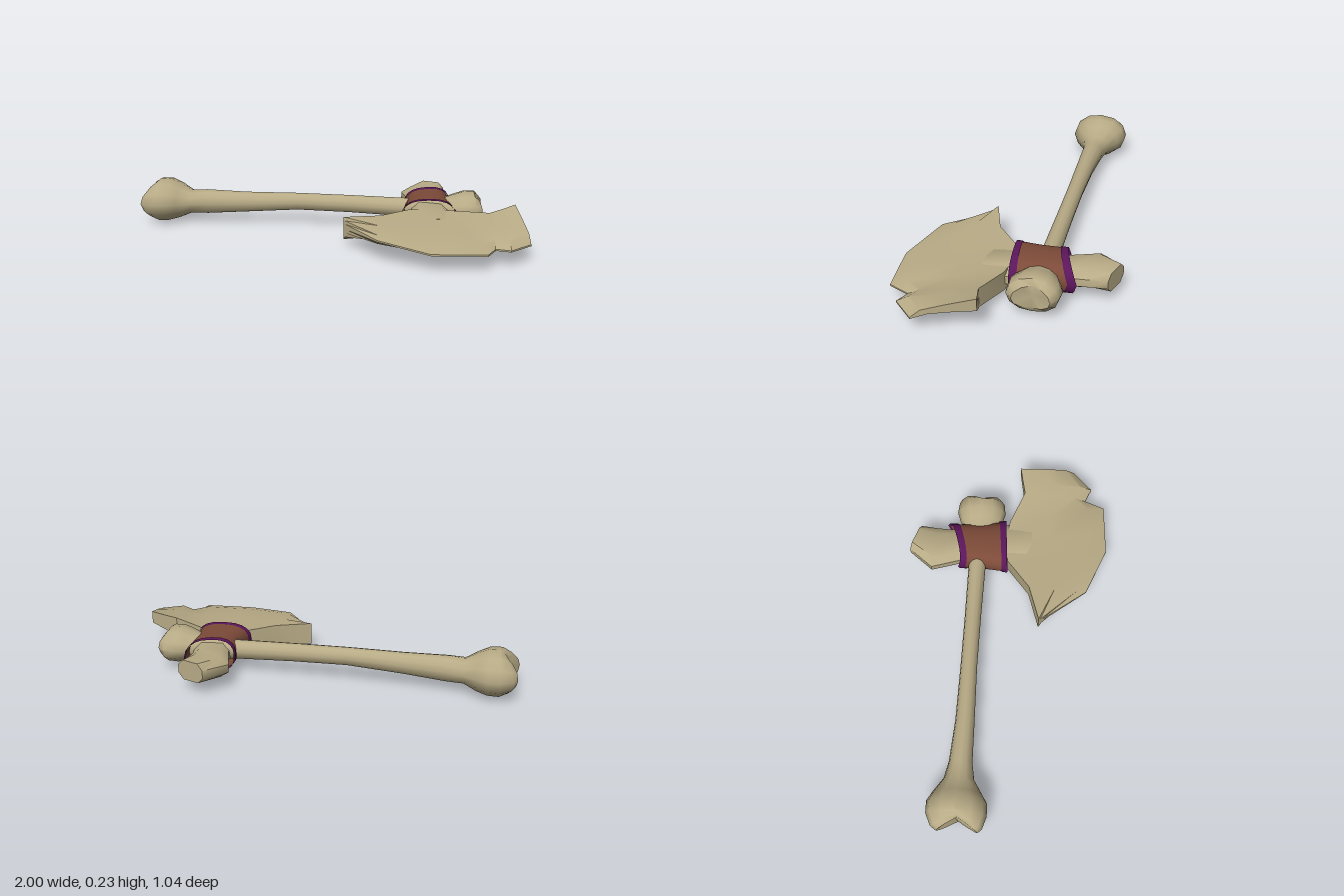
import * as THREE from 'three';
import { toCreasedNormals } from 'three/addons/utils/BufferGeometryUtils.js';

const bone = new THREE.MeshStandardMaterial({ color: 0xb8ab86 });
const hide = new THREE.MeshStandardMaterial({ color: 0x7c4a38, side: THREE.DoubleSide });
const trim = new THREE.MeshStandardMaterial({ color: 0x5c165c, side: THREE.DoubleSide });

// Skin a list of rings (arrays of [x, y, z]); caps may be given as centre points.
function loft(name, rings, material, startCap, endCap, crease = 0.75) {
  const n = rings[0].length;
  const pos = rings.flat(2);
  let tris = [];
  for (let r = 0; r < rings.length - 1; r++) {
    for (let i = 0; i < n; i++) {
      const j = (i + 1) % n, a = r * n, b = a + n;
      tris.push([a + i, a + j, b + j], [a + i, b + j, b + i]);
    }
  }
  const cap = (centre, base, flip) => {
    const c = pos.length / 3;
    pos.push(...centre);
    for (let i = 0; i < n; i++) {
      const p = base + i, q = base + (i + 1) % n;
      tris.push(flip ? [c, q, p] : [c, p, q]);
    }
  };
  if (startCap) cap(startCap, 0, true);
  if (endCap) cap(endCap, (rings.length - 1) * n, false);
  // Turn the faces outwards
  const v = (i) => new THREE.Vector3().fromArray(pos, i * 3);
  const volume = tris.reduce((s, [a, b, c]) => s + v(a).dot(v(b).cross(v(c))), 0);
  if (volume < 0) tris = tris.map(([a, b, c]) => [a, c, b]);
  const g = new THREE.BufferGeometry();
  g.setAttribute('position', new THREE.Float32BufferAttribute(pos, 3));
  g.setIndex(tris.flat());
  const mesh = new THREE.Mesh(toCreasedNormals(g, crease), material);
  mesh.name = name;
  return mesh;
}

const middle = (ring) => [0, 1, 2].map((k) => ring.reduce((s, p) => s + p[k], 0) / ring.length);

// Long bone: [x, centre y, centre z, half height, half depth, pull of the cleft along x]
function buildHandle() {
  const stations = [
    [-1.0, 0.12, -0.155, 0.07, 0.10, 0.06],
    [-0.98, 0.12, -0.16, 0.095, 0.125, 0.05],
    [-0.92, 0.122, -0.165, 0.114, 0.148, 0.01],
    [-0.86, 0.122, -0.166, 0.112, 0.148, 0],
    [-0.81, 0.118, -0.167, 0.095, 0.118, 0],
    [-0.745, 0.113, -0.165, 0.062, 0.075, 0],
    [-0.66, 0.115, -0.163, 0.066, 0.058, 0],
    [-0.45, 0.12, -0.158, 0.055, 0.048, 0],
    [-0.17, 0.13, -0.16, 0.046, 0.042, 0],
    [0.1, 0.125, -0.16, 0.047, 0.042, 0],
    [0.4, 0.115, -0.16, 0.05, 0.045, 0],
    [0.6, 0.115, -0.155, 0.06, 0.085, 0],
    [0.65, 0.118, -0.155, 0.075, 0.112, 0],
    [0.7, 0.12, -0.157, 0.09, 0.128, 0],
    [0.76, 0.12, -0.157, 0.09, 0.122, -0.01],
    [0.795, 0.12, -0.157, 0.06, 0.09, -0.03],
  ];
  const sides = 12;
  const rings = stations.map(([x, y, z, ry, rz, pull]) =>
    Array.from({ length: sides }, (_, i) => {
      const a = (i / sides) * Math.PI * 2;
      return [x + pull * (1 - Math.abs(Math.cos(a))), y + ry * Math.sin(a), z + rz * Math.cos(a)];
    }));
  return loft('boneHandle', rings, bone, [-0.93, 0.12, -0.17], [0.755, 0.12, -0.157], 0.9);
}

// Shoulder blade: each column runs from back edge to cutting edge
// [back x, back z, back top y, back bottom y, front x, front z, front y]
function buildBlade() {
  const columns = [
    [0.1, 0.18, 0.155, 0.04, 0.115, 0.2, 0.1],
    [0.28, 0.12, 0.15, 0.043, 0.28, 0.42, 0.115],
    [0.42, 0.0, 0.15, 0.045, 0.53, 0.52, 0.09],
    [0.53, -0.02, 0.15, 0.045, 0.65, 0.512, 0.09],
    [0.65, 0.0, 0.15, 0.05, 0.79, 0.5, 0.09],
    [0.82, 0.07, 0.165, 0.065, 0.83, 0.4, 0.085],
    [0.88, 0.055, 0.182, 0.1, 0.9, 0.43, 0.09],
    [0.945, 0.04, 0.203, 0.14, 1.0, 0.33, 0.09],
  ];
  const rings = columns.map(([bx, bz, top, bottom, fx, fz, fy]) => {
    const at = (t, y) => [bx + (fx - bx) * t, y, bz + (fz - bz) * t];
    const mix = THREE.MathUtils.lerp;
    return [
      at(0, top), at(0.45, mix(top, fy, 0.3)), at(0.84, mix(top, fy, 0.6)), at(1, fy + 0.004),
      at(1, fy - 0.004), at(0.84, mix(bottom, fy, 0.6)), at(0.45, mix(bottom, fy, 0.25)), at(0, bottom),
    ];
  });
  return loft('blade', rings, bone, middle(rings[0]), middle(rings.at(-1)), 0.6);
}

// Neck of the blade: [left x, left z, right x, right z, bottom y, top y]
function buildNeck() {
  const rows = [
    [0.43, 0.12, 0.64, 0.12, 0.055, 0.14],
    [0.425, 0.0, 0.645, 0.0, 0.047, 0.152],
    [0.43, -0.1, 0.62, -0.1, 0.047, 0.155],
    [0.43, -0.22, 0.61, -0.22, 0.05, 0.155],
    [0.41, -0.28, 0.595, -0.28, 0.053, 0.155],
    [0.37, -0.4, 0.595, -0.38, 0.06, 0.16],
    [0.46, -0.52, 0.6, -0.47, 0.068, 0.168],
  ];
  const section = [[0, 0.3], [0.2, 0], [0.8, 0], [1, 0.3], [1, 0.7], [0.8, 1], [0.2, 1], [0, 0.7]];
  const rings = rows.map(([lx, lz, rx, rz, y0, y1]) => section.map(([u, w]) =>
    [lx + (rx - lx) * u, y0 + (y1 - y0) * w, lz + (rz - lz) * u]));
  return loft('bladeNeck', rings, bone, middle(rings[0]), middle(rings.at(-1)), 0.8);
}

// Point of the wrapping at angle a; t runs from the slanted rear rim to the front rim
function wrapRing(t, swell) {
  return Array.from({ length: 20 }, (_, i) => {
    const a = (i / 20) * Math.PI * 2;
    const c = Math.sign(Math.cos(a)) * Math.abs(Math.cos(a)) ** 0.8;
    const s = Math.sign(Math.sin(a)) * Math.abs(Math.sin(a)) ** 0.8;
    const rear = -0.288 - 0.035 * c + 0.025 * Math.abs(s);
    const front = -0.018 - 0.012 * c;
    const rx = 0.114 + 0.022 * t * t + swell;
    return [0.508 + 0.012 * t + rx * c, 0.11 + (0.083 + swell) * s, rear + (front - rear) * t];
  });
}

export function createModel() {
  const model = new THREE.Group();
  model.name = 'boneAxe';
  model.add(buildHandle(), buildBlade(), buildNeck());

  // Hide wrapping with a coloured band at each rim
  const wrap = new THREE.Group();
  wrap.name = 'wrapping';
  const span = (name, from, to, swell, mat) => wrap.add(
    loft(name, [0, 0.5, 1].map((k) => wrapRing(from + (to - from) * k, swell)), mat));
  span('hideWrap', 0.02, 0.98, 0, hide);
  span('rearBand', -0.03, 0.12, 0.004, trim);
  span('frontBand', 0.9, 1.03, 0.004, trim);
  model.add(wrap);
  return model;
}
